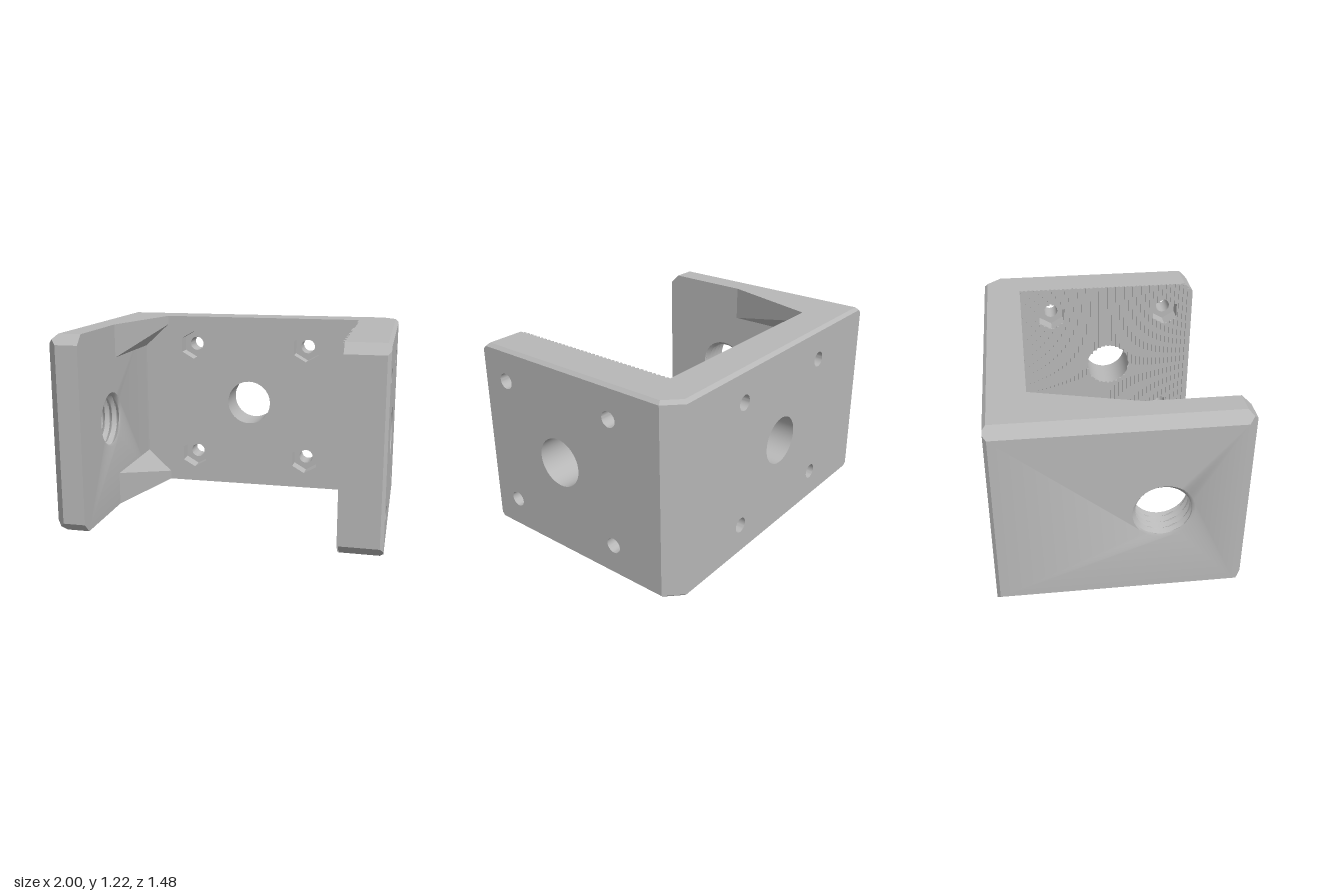
import * as THREE from 'three';
import { toCreasedNormals } from 'three/addons/utils/BufferGeometryUtils.js';

const V = (x, y, z) => new THREE.Vector3(x, y, z);
const H = 1.215, X = 0.992, BACK = -0.732, FRONT = 0.724;
const INL = -0.792, INR = 0.738, INB = -0.493; // inner faces of the walls
const C = 0.06, S = 0.02, B = 0.1;             // chamfer sizes
const MIDY = H / 2, ROWS = [0.205, 1.01];

// Half-spaces n.p <= d that bound the outer block
const plane = (n, d) => ({ n: n.clone().normalize(), d: d / n.length() });
const bevel = (a, b, c) => plane(a.n.clone().add(b.n), a.d + b.d - c);
const top = plane(V(0, 1, 0), H), bottom = plane(V(0, -1, 0), 0);
const left = plane(V(-1, 0, 0), X), right = plane(V(1, 0, 0), X);
const front = plane(V(0, 0, 1), FRONT), back = plane(V(0, 0, -1), -BACK);
const corner = bevel(right, back, B);
const lids = [top, bottom];
const frontPlanes = [front, ...lids.map(l => bevel(l, front, C))];
const sidePlanes = [
  corner, bevel(left, front, C), bevel(right, front, S), bevel(left, back, S),
  ...lids.flatMap(l => [bevel(l, left, C), bevel(l, right, S), bevel(l, back, S), bevel(l, corner, S)]),
];
const outer = [left, right, back, ...lids, ...frontPlanes, ...sidePlanes];

// Regions that split the U-shaped faces
const inLeft = [plane(V(1, 0, 0), INL)];
const inRight = [plane(V(-1, 0, 0), -INR)];
const inBack = [plane(V(0, 0, 1), INB), plane(V(1, 0, 0), INR), plane(V(-1, 0, 0), -INL)];
const ahead = plane(V(0, 0, -1), -INB);

// Collects triangles, each turned to face the given direction
class Builder {
  constructor() { this.data = []; }
  tri(a, b, c, n) {
    const m = b.clone().sub(a).cross(c.clone().sub(a));
    for (const p of m.dot(n) < 0 ? [a, c, b] : [a, b, c]) this.data.push(p.x, p.y, p.z);
  }
  poly(points, n, holes = []) {
    const u = (Math.abs(n.y) > 0.9 ? V(1, 0, 0) : V(0, 1, 0)).cross(n).normalize();
    const v = n.clone().cross(u);
    const flat = l => l.map(p => new THREE.Vector2(p.dot(u), p.dot(v)));
    const all = [points, ...holes].flat();
    for (const [a, b, c] of THREE.ShapeUtils.triangulateShape(flat(points), holes.map(flat)))
      this.tri(all[a], all[b], all[c], n);
  }
  // One face of the block: a large square clipped by the other planes
  face(pl, extra = [], holes = []) {
    const u = (Math.abs(pl.n.y) > 0.9 ? V(1, 0, 0) : V(0, 1, 0)).cross(pl.n).normalize();
    const v = pl.n.clone().cross(u), o = pl.n.clone().multiplyScalar(pl.d);
    let pts = [[-4, -4], [4, -4], [4, 4], [-4, 4]].map(([a, b]) => o.clone().addScaledVector(u, a).addScaledVector(v, b));
    for (const q of [...outer, ...extra]) {
      if (q.n.dot(pl.n) > 0.9999) continue;
      const next = [];
      pts.forEach((p, i) => {
        const r = pts[(i + 1) % pts.length];
        const dp = q.n.dot(p) - q.d, dr = q.n.dot(r) - q.d;
        if (dp <= 1e-9) next.push(p);
        if ((dp < -1e-9 && dr > 1e-9) || (dp > 1e-9 && dr < -1e-9)) next.push(p.clone().lerp(r, dp / (dp - dr)));
      });
      pts = next;
    }
    pts = pts.filter((p, i) => p.distanceTo(pts[(i + 1) % pts.length]) > 1e-6);
    if (pts.length > 2) this.poly(pts, pl.n, holes);
  }
  // Inside wall of a hole, lofted through a row of loops
  tube(loops) {
    for (let k = 0; k + 1 < loops.length; k++) {
      const a = loops[k], b = loops[k + 1], n = a.length;
      const mid = a.reduce((s, p) => s.add(p), V(0, 0, 0)).divideScalar(n);
      for (let i = 0; i < n; i++) {
        const j = (i + 1) % n, inward = mid.clone().sub(a[i]);
        this.tri(a[i], a[j], b[j], inward);
        this.tri(a[i], b[j], b[i], inward);
      }
    }
  }
  mesh(name, material) {
    const g = new THREE.BufferGeometry();
    g.setAttribute('position', new THREE.Float32BufferAttribute(this.data, 3));
    const m = new THREE.Mesh(toCreasedNormals(g, 0.5), material);
    m.name = name;
    return m;
  }
}

// Loop of points round a hole running along x or z; r may depend on the angle
function ring(axis, at, c, y, r, n = 48) {
  return Array.from({ length: n }, (_, i) => {
    const t = (i / n) * Math.PI * 2, q = typeof r === 'function' ? r(t) : r;
    const s = c + q * Math.sin(t), h = y + q * Math.cos(t);
    return axis === 'x' ? V(at, h, s) : V(s, h, at);
  });
}

// Centre bore and four bolt holes with hexagonal nut pockets; returns the openings
const BORE = 0.152, BOLT = 0.048, HEX = 0.098, POCKET = 0.1;
function boltPattern(b, axis, outAt, inAt, centre, cols) {
  const dir = Math.sign(outAt - inAt), floor = inAt + dir * POCKET;
  const n = axis === 'x' ? V(-dir, 0, 0) : V(0, 0, -dir);
  const outside = [ring(axis, outAt, centre, MIDY, BORE)], inside = [ring(axis, inAt, centre, MIDY, BORE)];
  b.tube([outside[0], inside[0]]);
  for (const c of cols) for (const y of ROWS) {
    const o = ring(axis, outAt, c, y, BOLT, 32), f = ring(axis, floor, c, y, BOLT, 32);
    const h = ring(axis, inAt, c, y, HEX, 6), hf = ring(axis, floor, c, y, HEX, 6);
    b.tube([o, f]);
    b.tube([h, hf]);
    b.poly(hf, n, [f]);
    outside.push(o);
    inside.push(h);
  }
  return { outside, inside };
}

export function createModel() {
  const group = new THREE.Group();
  group.name = 'cornerBracket';
  const grey = new THREE.MeshStandardMaterial({ color: 0xb8b8b8 });
  grey.name = 'grey';
  const body = new THREE.Group();
  body.name = 'bracket';
  body.rotation.y = -0.011;
  body.position.z = 0.004;
  group.add(body);

  // Shell: top, bottom, front ends and chamfers
  const shell = new Builder();
  for (const l of lids) for (const region of [inLeft, inRight, inBack]) shell.face(l, region);
  for (const f of frontPlanes) for (const region of [inLeft, inRight]) shell.face(f, region);
  for (const p of sidePlanes) shell.face(p);
  body.add(shell.mesh('shell', grey));

  // Back wall
  const wall = new Builder();
  const wallHoles = boltPattern(wall, 'z', BACK, INB, -0.032, [-0.44, 0.373]);
  wall.face(back, [], wallHoles.outside);
  wall.face(plane(V(0, 0, 1), INB), inBack, wallHoles.inside);
  body.add(wall.mesh('backWall', grey));

  // Left-hand side wall at +x
  const arm = new Builder(), cols = [-0.28, 0.53], boreZ = 0.122;
  const armHoles = boltPattern(arm, 'x', X, INR, boreZ, cols);
  arm.face(right, [], armHoles.outside);
  arm.face(plane(V(-1, 0, 0), -INR), [ahead], armHoles.inside);
  body.add(arm.mesh('ribbedArm', grey));

  // Wall at -x with a threaded hole
  const threaded = new Builder(), holeZ = 0.228, steps = 32, loops = [];
  for (let k = 0; k <= steps; k++) {
    const x = -X + (INL + X) * (k / steps);
    const end = k === 0 || k === steps;
    loops.push(ring('x', x, holeZ, MIDY, t => {
      const f = (((x + X) / 0.05 + t / (Math.PI * 2)) % 1 + 1) % 1;
      return end ? 0.178 : 0.155 + 0.023 * Math.abs(2 * f - 1);
    }));
  }
  threaded.tube(loops);
  threaded.face(left, [], [loops[0]]);
  threaded.face(plane(V(1, 0, 0), INL), [ahead], [loops[steps]]);
  body.add(threaded.mesh('threadedArm', grey));

  // Tapered gussets in the upper and lower inner corner
  const gx = -0.625, gz = 0.13;
  for (const [name, fy, ny] of [['upperGusset', y => y, 1], ['lowerGusset', y => H - y, -1]]) {
    const g = new Builder();
    const a = V(INL, fy(H), gz), b = V(gx, fy(H), INB), c = V(INL, fy(H), INB);
    const d = V(INL, fy(1.0), gz), e = V(gx, fy(1.155), INB), f = V(INL, fy(1.0), INB);
    g.tri(a, b, c, V(0, ny, 0));
    g.tri(a, b, e, V(1, 0, 0.3));
    g.tri(a, e, d, V(1, 0, 0.3));
    g.tri(d, e, f, V(1, -ny, 0));
    body.add(g.mesh(name, grey));
  }

  // Fine upright ribs, interrupted at the holes
  const ribs = new THREE.Group();
  ribs.name = 'gripRibs';
  const pitch = 0.03, depth = 0.01;
  for (let z = INB + pitch / 2; z < FRONT - 0.004; z += pitch) {
    const trim = Math.max(0, z + 0.008 - (FRONT - C));
    const gaps = [];
    const dz = Math.abs(z - boreZ);
    if (dz < BORE) gaps.push([MIDY, Math.sqrt(BORE ** 2 - dz ** 2)]);
    for (const c of cols) for (const y of ROWS) {
      const q = Math.abs(z - c);
      if (q < HEX * 0.866) gaps.push([y, HEX - q * 0.577]);
    }
    gaps.sort((p, q) => p[0] - q[0]);
    let from = trim;
    for (const [y, half] of [...gaps, [H - trim, 0]]) {
      const to = y - half;
      const rib = new THREE.Mesh(new THREE.BoxGeometry(depth, to - from, pitch / 2), grey);
      rib.name = 'rib';
      rib.position.set(INR - depth / 2, (from + to) / 2, z);
      ribs.add(rib);
      from = y + half;
    }
  }
  body.add(ribs);
  return group;
}
